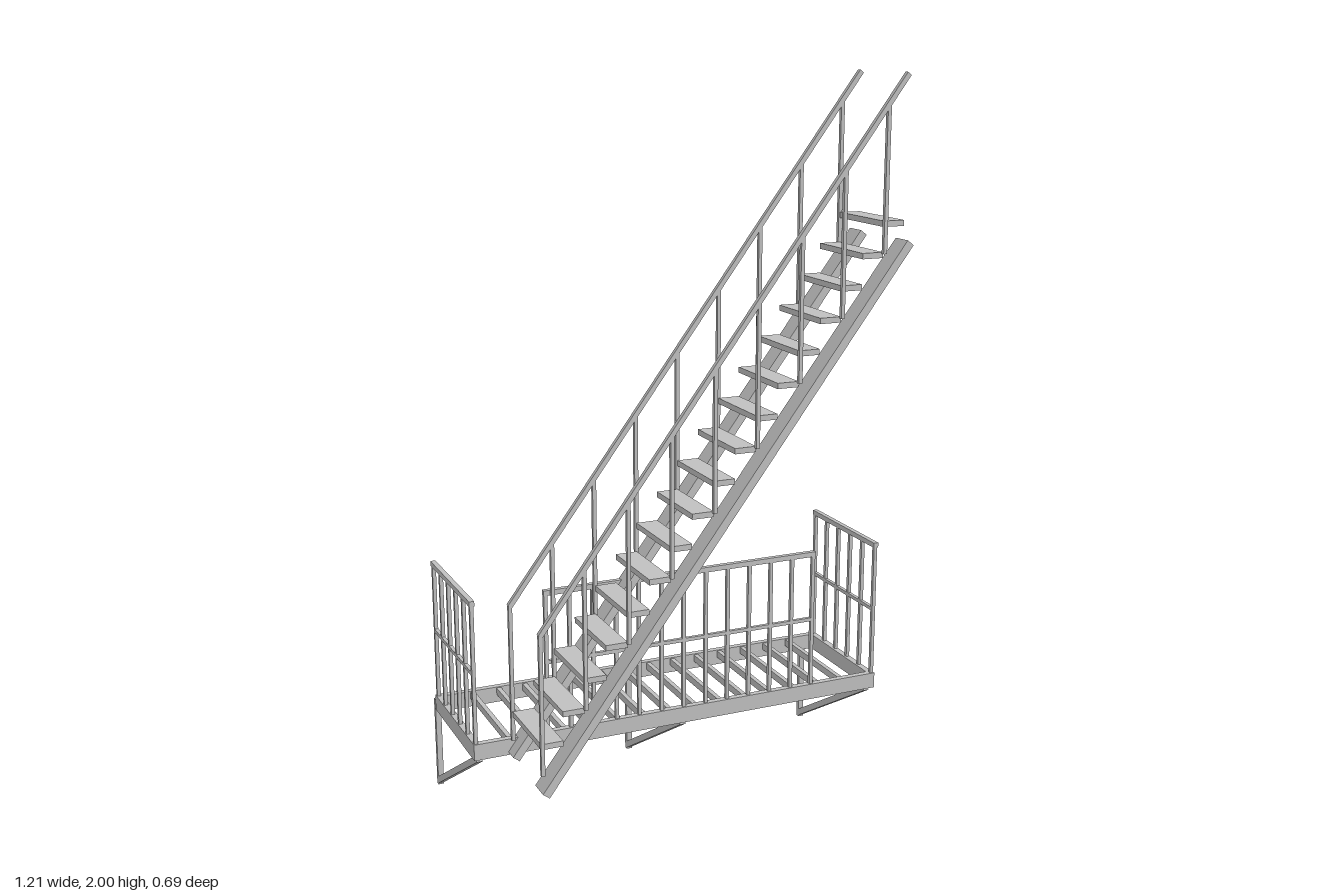
import * as THREE from 'three';

export function createModel() {
  const steel = new THREE.MeshStandardMaterial({ color: 0xc0c0c0 });
  steel.name = 'galvanised steel';
  const model = new THREE.Group();
  model.name = 'fireEscapeStair';

  const group = (name) => {
    const g = new THREE.Group();
    g.name = name;
    model.add(g);
    return g;
  };

  // Box given by its minimum and maximum corners
  const box = (parent, name, x0, x1, y0, y1, z0, z1) => {
    const mesh = new THREE.Mesh(new THREE.BoxGeometry(x1 - x0, y1 - y0, z1 - z0), steel);
    mesh.position.set((x0 + x1) / 2, (y0 + y1) / 2, (z0 + z1) / 2);
    mesh.name = name;
    parent.add(mesh);
    return mesh;
  };

  // Square upright bar
  const post = (parent, name, x, z, y0, y1, w = 0.01) =>
    box(parent, name, x - w / 2, x + w / 2, y0, y1, z - w / 2, z + w / 2);

  // Sloping bar between two points, w wide and h deep
  const bar = (parent, name, a, b, w, h) => {
    const from = new THREE.Vector3(...a), to = new THREE.Vector3(...b);
    const mesh = new THREE.Mesh(new THREE.BoxGeometry(w, h, from.distanceTo(to)), steel);
    mesh.position.copy(from).lerp(to, 0.5);
    mesh.lookAt(to);
    mesh.name = name;
    parent.add(mesh);
    return mesh;
  };

  // Platform frame and open slat floor
  const platform = group('platform');
  const bottom = 0.25, top = 0.295;
  box(platform, 'frontBeam', -0.603, 0.603, bottom, top, 0.054, 0.072);
  box(platform, 'backBeam', -0.603, 0.603, bottom, top, -0.291, -0.273);
  for (const s of [-1, 1]) {
    const x = s * 0.594;
    box(platform, 'endBeam', x - 0.009, x + 0.009, bottom, top, -0.273, 0.054);
  }
  for (let i = 0; i < 14; i++) {
    const x = -0.5 + i * (1 / 13);
    box(platform, 'floorSlat', x - 0.0065, x + 0.0065, 0.272, 0.292, -0.273, 0.054);
  }

  // Triangular wall brackets below the platform
  const brackets = group('wallBrackets');
  for (const x of [-0.585, 0, 0.585]) {
    box(brackets, 'wallPlate', x - 0.008, x + 0.008, 0, 0.262, -0.345, -0.331);
    bar(brackets, 'brace', [x, 0.247, 0.055], [x, 0.012, -0.336], 0.016, 0.018);
  }

  // Platform railings: long front panel and two end panels
  const railings = group('platformRailings');
  const railTop = 0.69, midY = 0.49;
  box(railings, 'frontTopRail', -0.402, 0.402, railTop - 0.014, railTop, 0.056, 0.07);
  box(railings, 'frontMidRail', -0.395, 0.395, midY - 0.005, midY + 0.005, 0.058, 0.068);
  for (let i = 0; i < 13; i++) {
    post(railings, 'frontBaluster', -0.396 + i * 0.066, 0.063, top, railTop - 0.01);
  }
  for (const s of [-1, 1]) {
    const x = s * 0.596;
    box(railings, 'endTopRail', x - 0.007, x + 0.007, railTop - 0.014, railTop, -0.288, 0.07);
    box(railings, 'endMidRail', x - 0.005, x + 0.005, midY - 0.005, midY + 0.005, -0.282, 0.063);
    for (let i = 0; i < 6; i++) {
      post(railings, 'endBaluster', x, 0.063 - i * 0.069, top, railTop - 0.01);
    }
  }

  // Stair treads
  const stair = group('stair');
  const run = 1 / 17, rise = 0.0784;
  for (let i = 0; i < 17; i++) {
    const x = -0.5 + i * run, y = 0.37 + i * rise;
    box(stair, 'tread', x, x + run, y - 0.0075, y + 0.0075, 0.087, 0.309);
  }

  // Stringers, handrails and posts on both sides of the stair
  for (const z of [0.082, 0.314]) {
    bar(stair, 'stringer', [-0.501, 0.252, z], [0.501, 1.578, z], 0.058, 0.022);
    bar(stair, 'handrail', [-0.5, 0.667, z], [0.495, 1.994, z], 0.013, 0.013);
    for (let i = 0; i < 9; i++) {
      const x = -0.499 + i * 2 * run;
      const railY = 0.667 + (x + 0.5) * (1.327 / 0.995);
      post(stair, 'handrailPost', x, z, 0.295 + i * 2 * rise, railY);
    }
  }

  return model;
}
